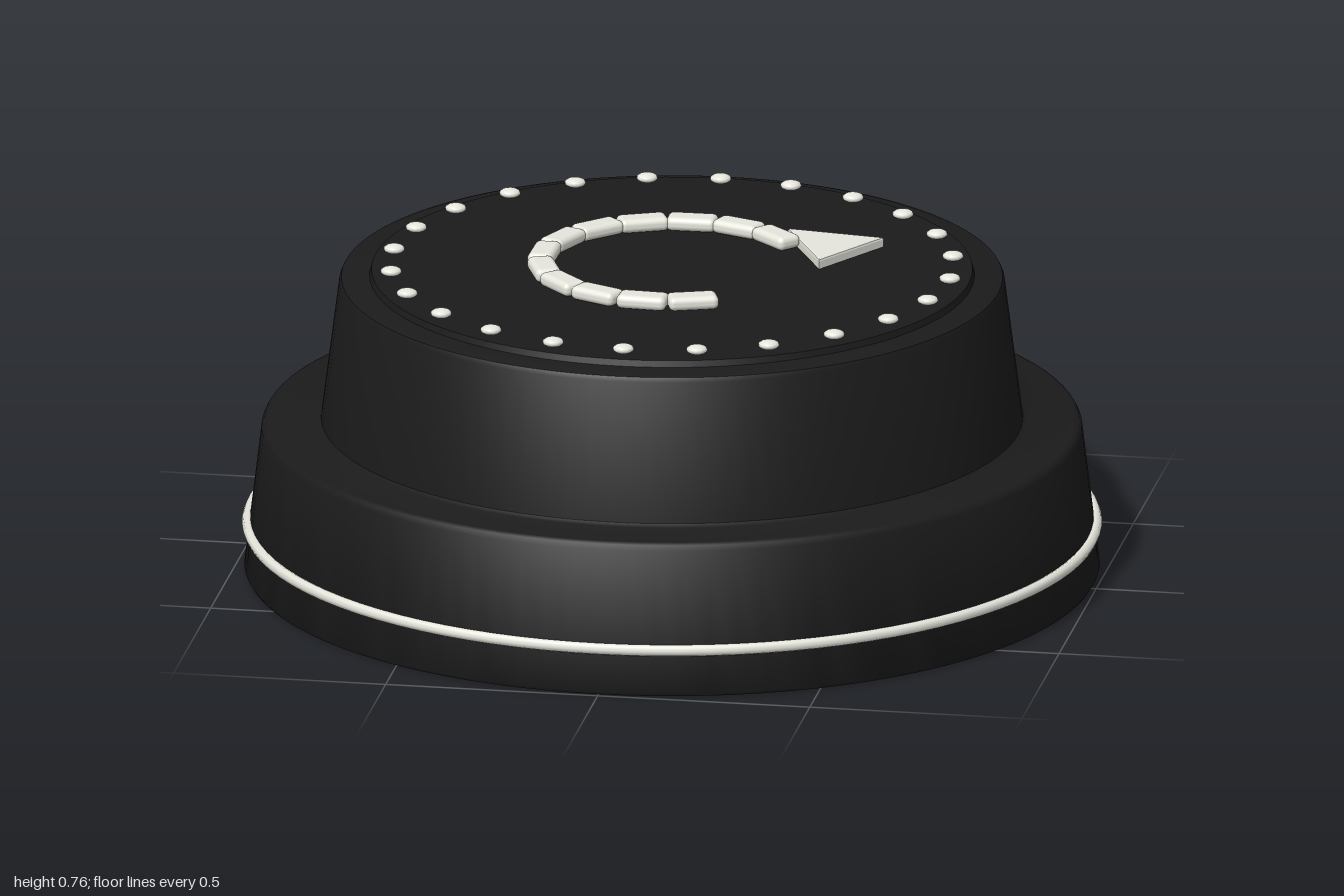
import * as THREE from 'three';
import { toCreasedNormals } from 'three/addons/utils/BufferGeometryUtils.js';
import { RoundedBoxGeometry } from 'three/addons/geometries/RoundedBoxGeometry.js';

const black = new THREE.MeshStandardMaterial({ name: 'black plastic', color: 0x1b1b1b });
const ivory = new THREE.MeshStandardMaterial({ name: 'ivory marking', color: 0xe6e6dd });

function add(parent, name, geometry, material, x = 0, y = 0, z = 0) {
  const mesh = new THREE.Mesh(geometry, material);
  mesh.name = name;
  mesh.position.set(x, y, z);
  parent.add(mesh);
  return mesh;
}

export function createModel() {
  const model = new THREE.Group();
  model.name = 'steppedKnob';

  // Stepped body with a round recess underneath, turned as one closed profile
  const profile = [
    [0, 0.4], [0.795, 0.4], [0.805, 0], [0.988, 0], [0.993, 0.008],
    [0.953, 0.342], [0.947, 0.354], [0.935, 0.358], [0.825, 0.358], [0.815, 0.365],
    [0.773, 0.695], [0.768, 0.706], [0.755, 0.71], [0, 0.71],
  ].map(([r, y]) => new THREE.Vector2(r, y));
  add(model, 'body', toCreasedNormals(new THREE.LatheGeometry(profile, 96), 0.8), black);

  // Thin raised disc on top
  add(model, 'topDisc', new THREE.CylinderGeometry(0.698, 0.704, 0.02, 96), black, 0, 0.715, 0);

  // Trim ring around the skirt
  const ring = new THREE.TorusGeometry(0.985, 0.014, 8, 96).rotateX(Math.PI / 2);
  add(model, 'trimRing', ring, ivory, 0, 0.11, 0);

  // Circle of flattened studs
  const studs = new THREE.Group();
  studs.name = 'studs';
  model.add(studs);
  const studGeometry = new THREE.SphereGeometry(0.025, 12, 8).scale(1, 0.45, 1);
  for (let i = 0; i < 24; i++) {
    const a = (i / 24) * Math.PI * 2;
    add(studs, 'stud', studGeometry, ivory, 0.655 * Math.cos(a), 0.738, 0.655 * Math.sin(a));
  }

  // Curved arrow: a run of soft-edged blocks, then the bevelled head
  const arrow = new THREE.Group();
  arrow.name = 'curvedArrow';
  model.add(arrow);
  const blockGeometry = new RoundedBoxGeometry(0.062, 0.033, 0.118, 3, 0.014);
  for (let i = 0; i < 12; i++) {
    const a = THREE.MathUtils.degToRad(71 + 22 * i);
    const block = add(arrow, 'arrowBlock', blockGeometry, ivory, 0.302 * Math.cos(a), 0.743, 0.302 * Math.sin(a));
    block.rotation.y = -a;
  }
  const corners = [[0.225, 0.278], [0.337, 0.055], [0.455, 0.248]];
  const head = new THREE.Shape(corners.map(([x, y]) => new THREE.Vector2(x, y)));
  const headGeometry = new THREE.ExtrudeGeometry(head, {
    depth: 0.017, bevelThickness: 0.006, bevelSize: 0.006, bevelOffset: -0.006, bevelSegments: 2,
  }).rotateX(-Math.PI / 2);
  add(arrow, 'arrowHead', headGeometry, ivory, 0, 0.726, 0);

  return model;
}
